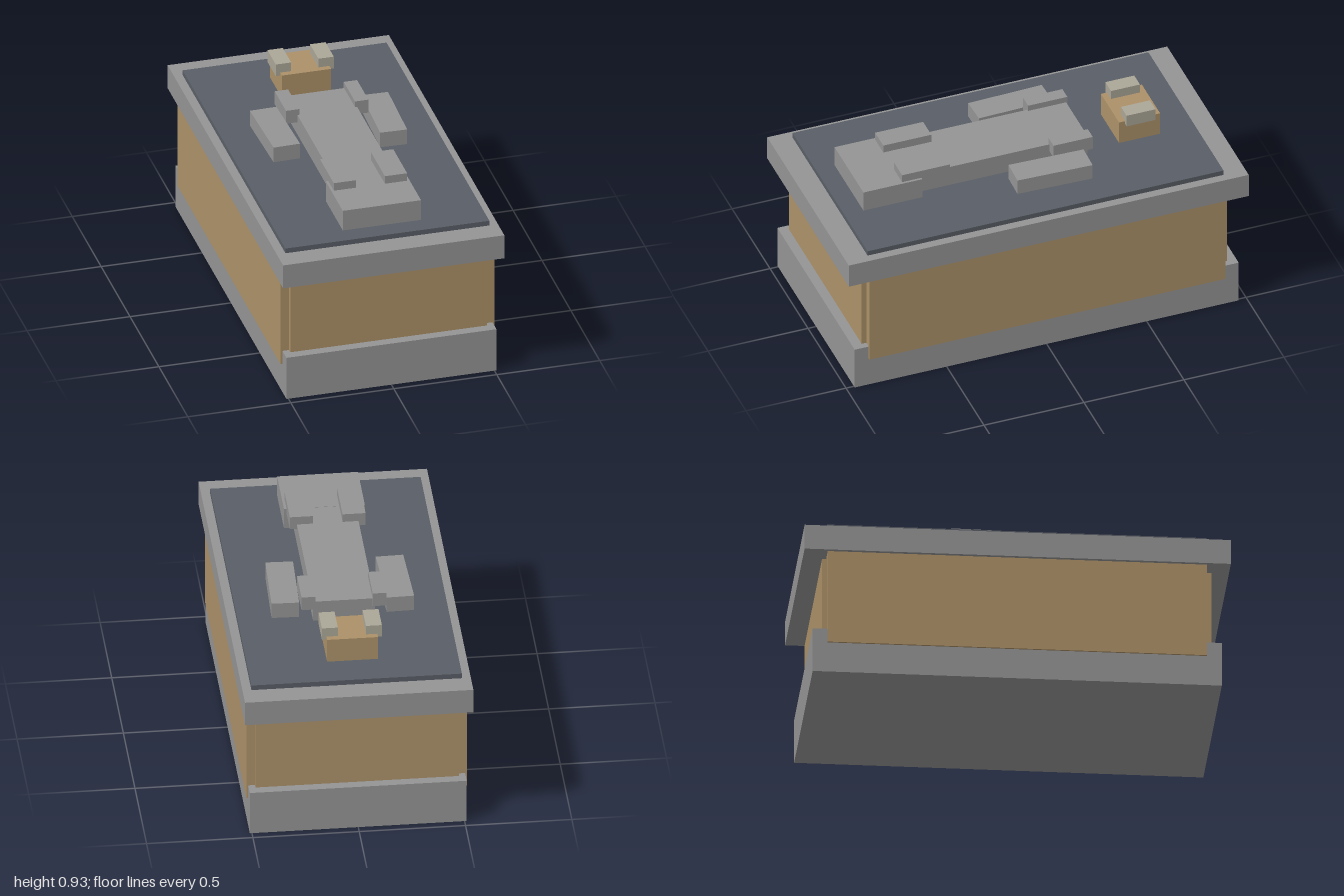
import * as THREE from 'three';

const mat = (name, color) => {
  const m = new THREE.MeshStandardMaterial({ color });
  m.name = name;
  return m;
};

export function createModel() {
  const stone = mat('grey stone', 0x949494);
  const sand = mat('sandstone', 0xac9168);
  const slate = mat('dark slate', 0x595e66);
  const pale = mat('pale stone', 0xaba697);
  const model = new THREE.Group();
  model.name = 'tomb';

  // Box from its min and max extents
  const box = (name, material, [x0, x1], [y0, y1], [z0, z1]) => {
    const mesh = new THREE.Mesh(new THREE.BoxGeometry(x1 - x0, y1 - y0, z1 - z0), material);
    mesh.position.set((x0 + x1) / 2, (y0 + y1) / 2, (z0 + z1) / 2);
    mesh.name = name;
    model.add(mesh);
    return mesh;
  };

  // Chest: plinth, core, lid and inset slab
  box('plinth', stone, [-0.51, 0.51], [0, 0.22], [-0.96, 0.96]);
  box('core', stone, [-0.45, 0.45], [0.2, 0.62], [-0.885, 0.885]);
  box('lid', stone, [-0.537, 0.537], [0.617, 0.74], [-1, 1]);
  box('slab', slate, [-0.495, 0.495], [0.74, 0.765], [-0.89, 0.89]);

  // Effigy: body, robe hem and pillow
  box('body', stone, [-0.145, 0.145], [0.765, 0.869], [-0.342, 0.5]);
  box('robeHem', stone, [-0.19, 0.19], [0.765, 0.87], [0.5, 0.795]);
  box('pillow', sand, [-0.12, 0.12], [0.765, 0.884], [-0.715, -0.51]);

  // Mirrored pairs
  for (const s of [-1, 1]) {
    const side = s > 0 ? 'left' : 'right';
    const span = (a, b) => (s > 0 ? [a, b] : [-b, -a]);
    box(side + 'SidePanel', sand, span(0.45, 0.519), [0.15, 0.617], [-0.89, 0.89]);
    box(s > 0 ? 'frontPanel' : 'backPanel', sand, [-0.478, 0.478], [0.2, 0.594], span(0.85, 0.913));
    const arm = box(side + 'Arm', stone, span(0.2, 0.33), [0.765, 0.843], [-0.298, 0.074]);
    arm.rotation.y = -s * 0.03;
    box(side + 'Shoulder', stone, span(0.135, 0.2), [0.83, 0.899], [-0.348, -0.152]);
    box(side + 'Knee', stone, span(0.07, 0.178), [0.845, 0.91], [0.357, 0.597]);
    box(side + 'PillowRoll', pale, span(0.066, 0.141), [0.868, 0.93], [-0.685, -0.54]);
  }
  return model;
}
